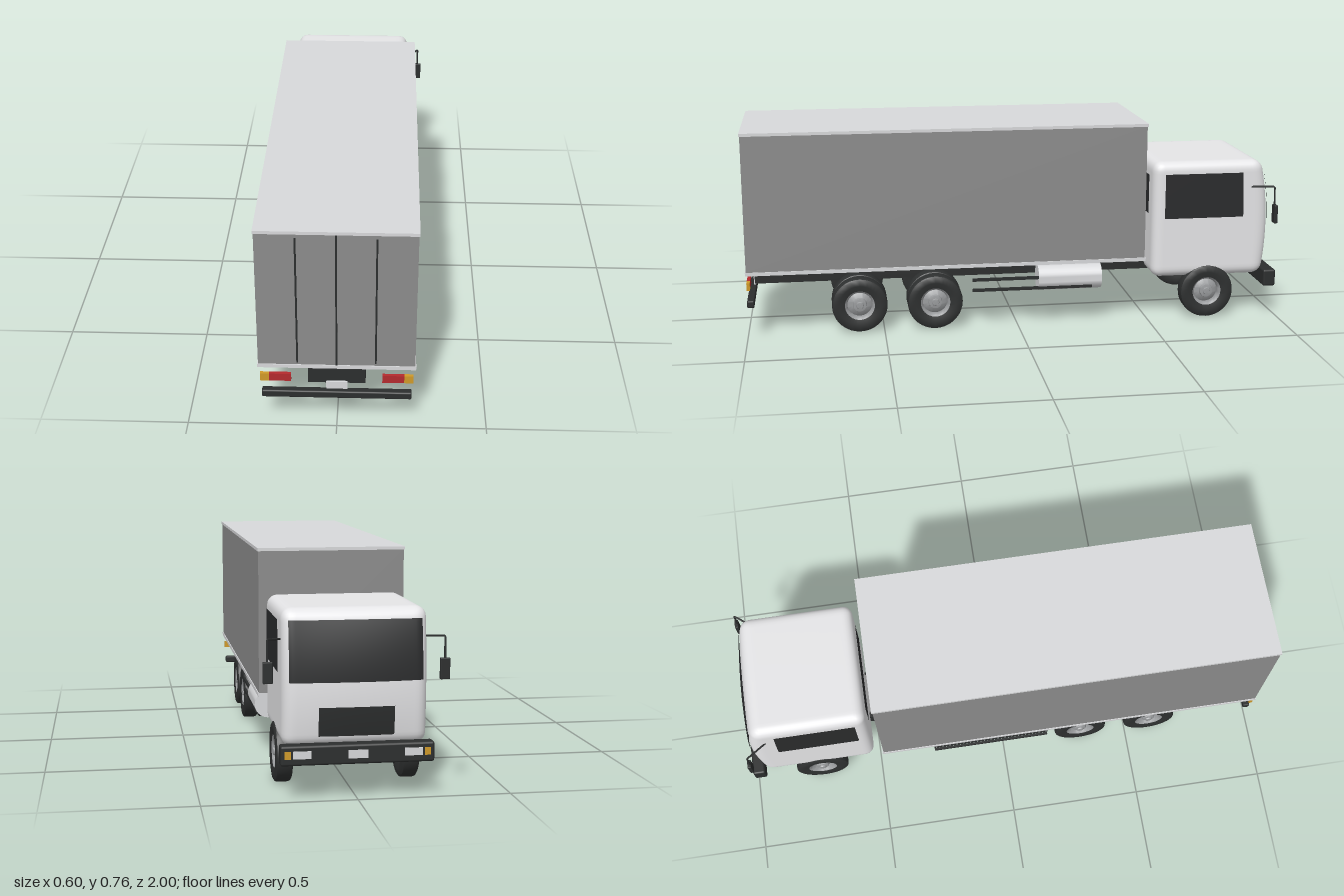
import * as THREE from 'three';
import { mergeVertices, toCreasedNormals } from 'three/addons/utils/BufferGeometryUtils.js';
import { RoundedBoxGeometry } from 'three/addons/geometries/RoundedBoxGeometry.js';

const paint = (name, color, side = THREE.FrontSide) => {
  const m = new THREE.MeshStandardMaterial({ color, side });
  m.name = name;
  return m;
};

export function createModel() {
  const white = paint('cab white', 0xe9e9eb);
  const trim = paint('light trim', 0xd8d9db);
  const grey = paint('cargo grey', 0x8c8c8c);
  const black = paint('black', 0x2c2e2e);
  const glass = paint('dark glass', 0x2a2b2c);
  const rubber = paint('tyre rubber', 0x2e3030);
  const steel = paint('wheel steel', 0x9a9c9e, THREE.DoubleSide);
  const red = paint('lamp red', 0xb42a2e);
  const amber = paint('lamp amber', 0xd09a28);

  const truck = new THREE.Group();
  truck.name = 'boxTruck';

  const add = (name, geometry, material, parent = truck) => {
    const mesh = new THREE.Mesh(geometry, material);
    mesh.name = name;
    parent.add(mesh);
    return mesh;
  };
  // Box given by its limits on each axis
  const block = (name, material, [x0, x1], [y0, y1], [z0, z1], radius = 0) => {
    const size = [x1 - x0, y1 - y0, z1 - z0];
    const g = radius ? new RoundedBoxGeometry(...size, 2, radius) : new THREE.BoxGeometry(...size);
    g.translate((x0 + x1) / 2, (y0 + y1) / 2, (z0 + z1) / 2);
    return add(name, g, material);
  };
  // Same box on both sides
  const pair = (name, material, [x0, x1], y, z, radius) => {
    block(name + 'Left', material, [x0, x1], y, z, radius);
    block(name + 'Right', material, [-x1, -x0], y, z, radius);
  };
  const rod = (name, points, radius, material) => {
    const path = new THREE.CurvePath();
    points = points.map((p) => new THREE.Vector3(...p));
    for (let i = 1; i < points.length; i++) path.add(new THREE.LineCurve3(points[i - 1], points[i]));
    return add(name, new THREE.TubeGeometry(path, 24, radius, 8), material);
  };

  // Cargo box with light rails and rear door seams
  block('cargoBox', grey, [-0.257, 0.257], [0.25, 0.75], [-0.478, 0.997]);
  block('cargoRoof', trim, [-0.26, 0.26], [0.749, 0.76], [-0.482, 1]);
  block('cargoFloor', trim, [-0.26, 0.26], [0.238, 0.251], [-0.482, 1]);
  block('doorSeamMiddle', black, [-0.003, 0.003], [0.251, 0.747], [0.995, 1]);
  pair('doorSeam', black, [0.125, 0.131], [0.26, 0.735], [0.995, 1]);

  // Cab: a rounded box whose nose bulges forward
  const half = new THREE.Vector3(0.235, 0.2225, 0.209);
  const centre = new THREE.Vector3(0, 0.3835, -0.724);
  const radius = 0.035;
  const inner = half.clone().subScalar(radius);
  const onCab = (v, offset = 0) => {
    const core = v.clone().clamp(inner.clone().negate(), inner);
    const p = v.clone().sub(core).setLength(radius + offset).add(core);
    const forward = Math.max(0, -p.z / half.z) ** 2;
    const rise = (p.y + centre.y - 0.35) / 0.255;
    p.z -= 0.042 * forward * (1 - rise * rise) * (1 - 0.35 * (p.x / half.x) ** 2);
    return p.add(centre);
  };
  const shapeToCab = (g, offset) => {
    const pos = g.attributes.position;
    const v = new THREE.Vector3();
    for (let i = 0; i < pos.count; i++) {
      const p = onCab(v.fromBufferAttribute(pos, i), offset);
      pos.setXYZ(i, p.x, p.y, p.z);
    }
    g.deleteAttribute('uv');
    g.deleteAttribute('normal');
    const merged = mergeVertices(g, 1e-5);
    merged.computeVertexNormals();
    return merged;
  };
  add('cab', shapeToCab(new THREE.BoxGeometry(half.x * 2, half.y * 2, half.z * 2, 40, 40, 40), 0), white);

  // Panels that follow the cab surface
  const panel = (name, width, [y0, y1], turn, shift, material) => {
    const g = new THREE.PlaneGeometry(width, y1 - y0, 40, 20);
    g.rotateY(turn);
    g.translate(shift[0], (y0 + y1) / 2 - centre.y, shift[1]);
    add(name, shapeToCab(g, 0.004), material);
  };
  panel('windscreen', 0.43, [0.375, 0.57], Math.PI, [0, -half.z], glass);
  panel('grille', 0.245, [0.2, 0.295], Math.PI, [0, -half.z], black);
  panel('rearWindow', 0.34, [0.4, 0.55], 0, [0, half.z], glass);
  for (const s of [1, -1]) {
    panel(s > 0 ? 'sideWindowLeft' : 'sideWindowRight', 0.295, [0.392, 0.562], s * Math.PI / 2, [s * half.x, 0.019], glass);
  }
  block('cabRearPanel', grey, [-0.075, 0.075], [0.2, 0.236], [-0.52, -0.5]);

  // Chassis
  block('chassis', black, [-0.095, 0.095], [0.162, 0.215], [-0.9, 0.975]);

  // Front bumper and lamps
  block('frontBumper', black, [-0.248, 0.248], [0.115, 0.18], [-0.998, -0.95], 0.008);
  block('frontPlate', trim, [-0.032, 0.032], [0.135, 0.162], [-1, -0.995]);
  pair('headlamp', trim, [0.15, 0.208], [0.138, 0.163], [-1, -0.995]);
  pair('frontIndicator', amber, [0.215, 0.235], [0.138, 0.163], [-1, -0.995]);

  // Rear bumper and lamps
  block('rearBumper', black, [-0.248, 0.248], [0.114, 0.141], [0.972, 0.998], 0.005);
  block('rearPlate', trim, [-0.035, 0.035], [0.142, 0.17], [0.974, 0.982]);
  pair('tailLamp', red, [0.15, 0.222], [0.182, 0.21], [0.985, 0.997]);
  pair('rearIndicator', amber, [0.222, 0.252], [0.182, 0.21], [0.985, 0.997]);

  // Fuel tank
  const tank = add('fuelTank', toCreasedNormals(new THREE.CylinderGeometry(0.049, 0.049, 0.24, 32), 0.6), trim);
  tank.rotation.x = Math.PI / 2;
  tank.position.set(0.206, 0.177, -0.197);

  // Side guards and mirrors
  for (const s of [1, -1]) {
    const side = s > 0 ? 'Left' : 'Right';
    block('lowerGuard' + side, black, [s * 0.244 - 0.004, s * 0.244 + 0.004], [0.14, 0.151], [-0.28, 0.172]);
    block('upperGuard' + side, black, [s * 0.244 - 0.004, s * 0.244 + 0.004], [0.18, 0.191], [-0.28, 0.172]);
    rod('mirrorArm' + side, [[s * 0.23, 0.505, -0.89], [s * 0.285, 0.515, -0.965], [s * 0.285, 0.43, -0.968]], 0.0035, black);
    block('mirror' + side, black, [s * 0.284 - 0.016, s * 0.284 + 0.016], [0.376, 0.445], [-0.977, -0.963], 0.003);
  }

  // Wheels: lathed tyre, dished rim and hub cap, outer face towards +x
  const lathe = (points, crease) => {
    const g = new THREE.LatheGeometry(points.map((p) => new THREE.Vector2(...p)), 36);
    g.rotateZ(-Math.PI / 2);
    return toCreasedNormals(g, crease);
  };
  const tyre = lathe([
    [0.054, -0.024], [0.075, -0.029], [0.094, -0.028], [0.1, -0.024], [0.1025, -0.016],
    [0.1025, 0.016], [0.1, 0.024], [0.094, 0.028], [0.075, 0.029], [0.054, 0.024], [0.054, -0.024],
  ], 0.6);
  const rim = lathe([[0.054, -0.02], [0.049, -0.018], [0.046, 0], [0.046, 0.012], [0.05, 0.021], [0.055, 0.025]], 0.6);
  const disc = lathe([[0.047, -0.002], [0.04, 0.004], [0.026, 0.01], [0.024, 0.02], [0.014, 0.022], [0.012, 0.027], [0, 0.027]], 0.5);
  const wheel = (name, x, z) => {
    const group = new THREE.Group();
    group.name = name;
    group.position.set(x, 0.1025, z);
    if (x < 0) group.rotation.y = Math.PI;
    add('tyre', tyre, rubber, group);
    add('rim', rim, steel, group);
    add('hub', disc, steel, group);
    truck.add(group);
  };
  for (const s of [1, -1]) {
    wheel('frontWheel', s * 0.212, -0.73);
    for (const z of [0.31, 0.59]) {
      wheel('outerRearWheel', s * 0.211, z);
      wheel('innerRearWheel', s * 0.149, z);
    }
  }

  return truck;
}
